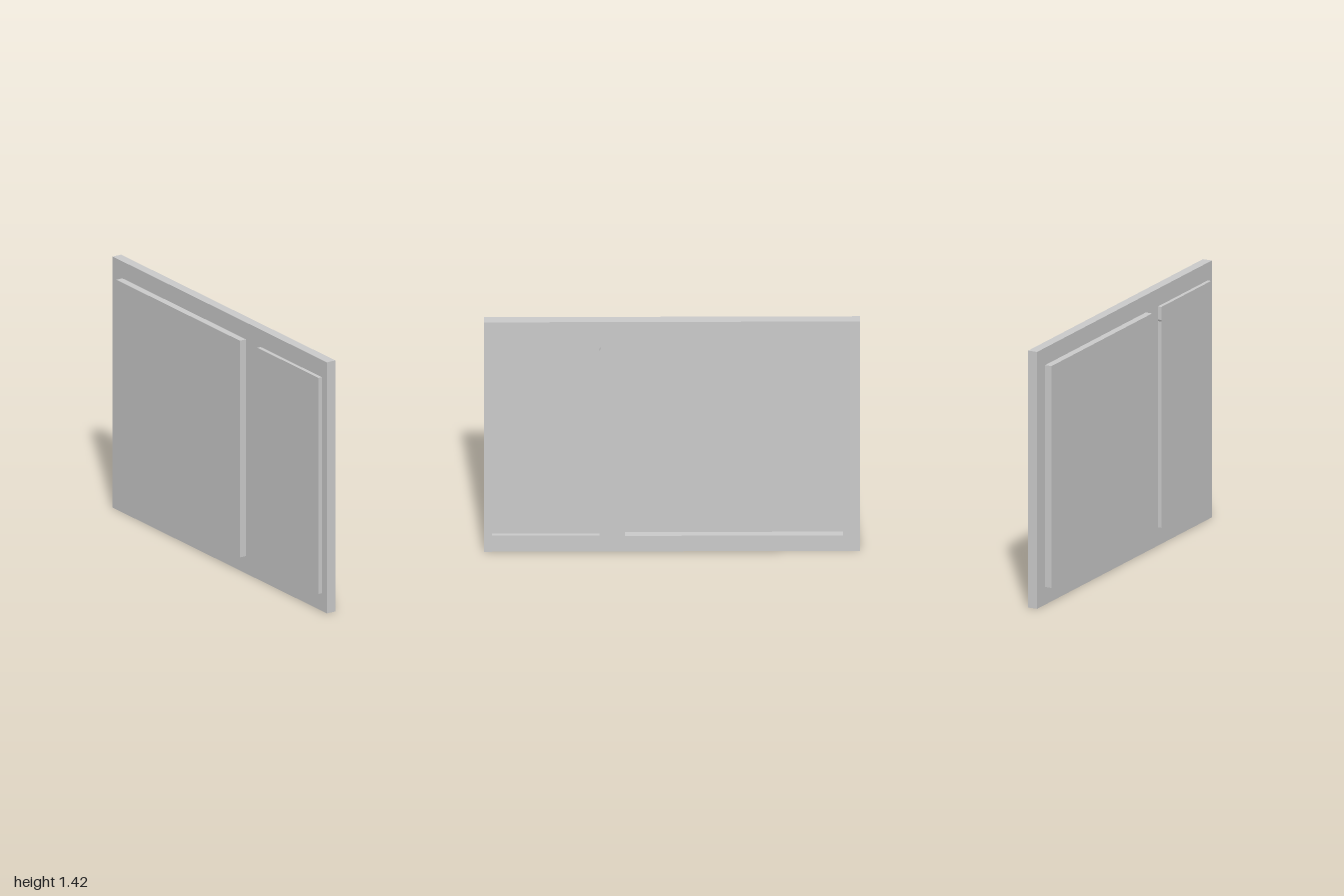
import * as THREE from 'three';

const BACK = -0.008, FRONT = 0.046, HEIGHT = 1.42;

// Outline from [z, y] corners, drawn in the (-z, y) plane
const points = (corners) => corners.map(([z, y]) => new THREE.Vector2(-z, y));
const rect = (z0, z1, y0, y1) => points([[z0, y0], [z1, y0], [z1, y1], [z0, y1]]);

// Flat plate with an outline, spanning x0 to x1
function plate(name, outline, x0, x1, holes = []) {
  const shape = new THREE.Shape(outline);
  holes.forEach((h) => shape.holes.push(new THREE.Path(h)));
  const geometry = new THREE.ExtrudeGeometry(shape, { depth: x1 - x0, bevelEnabled: false });
  geometry.rotateY(Math.PI / 2).translate(x0, 0, 0);
  const mesh = new THREE.Mesh(geometry, new THREE.MeshStandardMaterial({ color: 0xcccccc }));
  mesh.name = name;
  return mesh;
}

export function createModel() {
  const group = new THREE.Group();
  group.name = 'recessedPanel';

  // Each recess sinks into the +x face and stands out of the -x face by the same depth
  const recesses = [
    {
      name: 'large', depth: 0.039,
      opening: rect(0.25, -0.91, 0.096, 1.33),
      raised: rect(0.243, -0.91, 0.098, 1.324),
    },
    {
      name: 'small', depth: 0.021,
      // Slight step near the top of the inner edge
      opening: points([[0.956, 0.10], [0.386, 0.10], [0.386, 1.24], [0.381, 1.25], [0.381, 1.325], [0.956, 1.325]]),
      raised: points([[0.952, 0.10], [0.386, 0.10], [0.386, 1.24], [0.381, 1.25], [0.381, 1.322], [0.952, 1.322]]),
    },
  ];

  // Main slab with both openings cut through
  group.add(plate('slab', rect(1, -1, 0, HEIGHT), BACK, FRONT, recesses.map((r) => r.opening)));

  // Floor that closes each opening, and the block raised behind it
  for (const { name, depth, opening, raised } of recesses) {
    group.add(plate(`${name}RecessFloor`, opening, BACK, FRONT - depth));
    group.add(plate(`${name}RaisedBack`, raised, BACK - depth, BACK));
  }
  return group;
}
